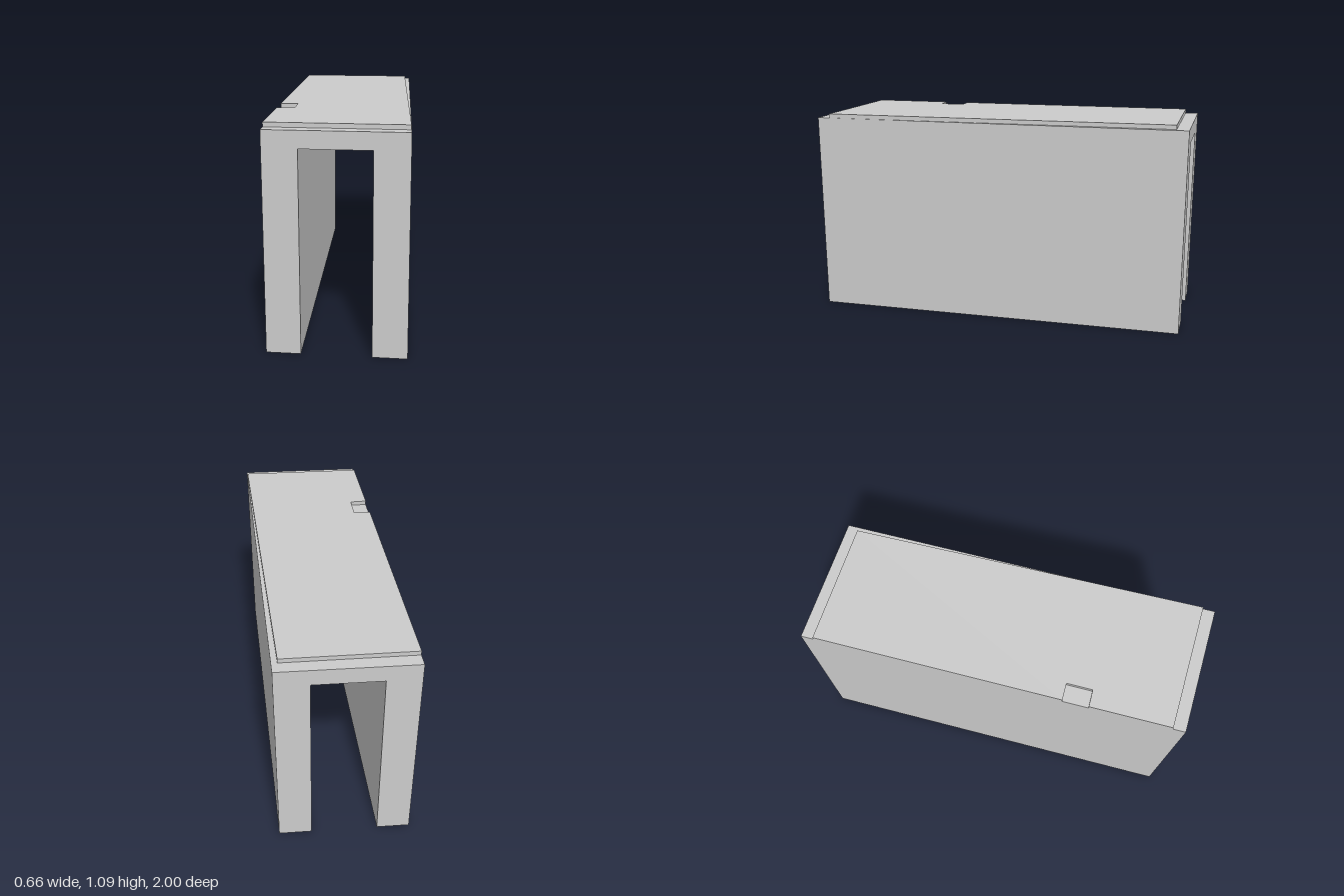
import * as THREE from 'three';

const material = new THREE.MeshStandardMaterial({ color: 0xcccccc, flatShading: true });

const shapeFrom = (points) => new THREE.Shape(points.map(([x, y]) => new THREE.Vector2(x, y)));

function addPart(group, name, geometry) {
  const mesh = new THREE.Mesh(geometry, material);
  mesh.name = name;
  group.add(mesh);
}

export function createModel() {
  const group = new THREE.Group();
  group.name = 'culvert';

  const halfWidth = 0.332, halfOpening = 0.167, bodyTop = 1.063, ceiling = 0.98;
  const halfLength = 0.985, skew = 0.045;

  // Two walls and a roof in one section, with both ends skewed in plan
  const section = shapeFrom([
    [-halfWidth, 0], [-halfOpening, 0], [-halfOpening, ceiling], [halfOpening, ceiling],
    [halfOpening, 0], [halfWidth, 0], [halfWidth, bodyTop], [-halfWidth, bodyTop],
  ]);
  const body = new THREE.ExtrudeGeometry(section, { depth: halfLength * 2, bevelEnabled: false });
  body.translate(0, 0, -halfLength);
  const position = body.attributes.position;
  for (let i = 0; i < position.count; i++) {
    position.setZ(i, position.getZ(i) + skew * position.getX(i));
  }
  body.computeVertexNormals();
  addPart(group, 'wallsAndRoof', body);

  // Thin tapering slab on the roof, with a square notch in its right edge
  const plan = [
    [-halfWidth, 0.905], [0.33, 0.935], [0.303, -0.908], [-halfWidth, -0.933],
    [-halfWidth, 0.355], [-0.243, 0.355], [-0.243, 0.487], [-halfWidth, 0.487],
  ];
  const slab = new THREE.ExtrudeGeometry(shapeFrom(plan.map(([x, z]) => [x, -z])), {
    depth: 0.022, bevelEnabled: false,
  });
  slab.rotateX(-Math.PI / 2);
  slab.translate(0, bodyTop, 0);
  addPart(group, 'roofSlab', slab);

  return group;
}
